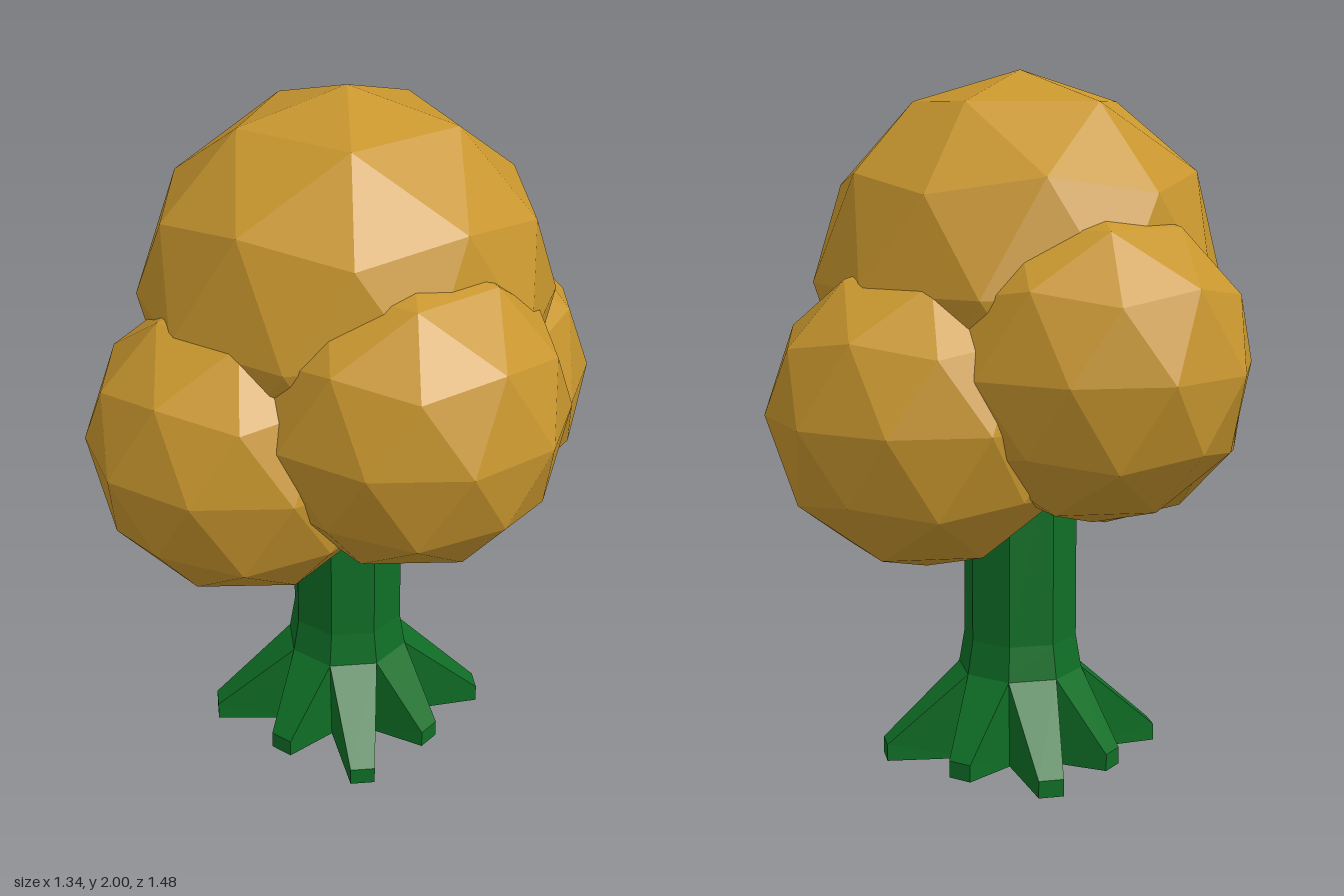
import * as THREE from 'three';

const leafMaterial = new THREE.MeshStandardMaterial({ color: 0xc8962e, flatShading: true });
const trunkMaterial = new THREE.MeshStandardMaterial({ color: 0x0f6e26, flatShading: true });

const SIDES = 8;
const STEP = (Math.PI * 2) / SIDES;

// Faceted ball with one corner pointing straight up
function leafBall(name, radius, x, y, z, turn = 0) {
  const geometry = new THREE.IcosahedronGeometry(radius, 1);
  geometry.rotateZ(-Math.atan(2 / (1 + Math.sqrt(5))));
  const ball = new THREE.Mesh(geometry, leafMaterial);
  ball.name = name;
  ball.position.set(x, y, z);
  ball.rotation.y = turn;
  return ball;
}

// Eight-sided trunk whose faces run out into alternating long and short roots
function trunkGeometry() {
  const positions = [];
  const tri = (...corners) => corners.forEach((p) => positions.push(p.x, p.y, p.z));
  const quad = (a, b, c, d) => { tri(a, b, c); tri(a, c, d); };
  const polar = (angle, r, y) => new THREE.Vector3(r * Math.sin(angle), y, r * Math.cos(angle));

  const rings = [[0.185, 0.26], [0.168, 0.36], [0.168, 1.0]]; // radius, height
  const footRadius = 0.17, tipHalfWidth = 0.036, tipHeight = 0.05;
  const base = new THREE.Vector3(0, 0, 0);
  const top = new THREE.Vector3(0, 1.0, 0);

  for (let i = 0; i < SIDES; i++) {
    const a = i * STEP, b = a + STEP, mid = a + STEP / 2;

    // Trunk wall and its cap
    for (let k = 0; k < rings.length - 1; k++) {
      const [r0, y0] = rings[k], [r1, y1] = rings[k + 1];
      quad(polar(a, r0, y0), polar(b, r0, y0), polar(b, r1, y1), polar(a, r1, y1));
    }
    tri(top, polar(a, 0.168, 1.0), polar(b, 0.168, 1.0));

    // Root
    const reach = i % 2 === 0 ? 0.407 : 0.32;
    const side = polar(mid + Math.PI / 2, tipHalfWidth, 0);
    const tip = (sign, y) => polar(mid, reach, y).addScaledVector(side, sign);
    const l0 = tip(-1, 0), l1 = tip(-1, tipHeight);
    const r0 = tip(1, 0), r1 = tip(1, tipHeight);
    const va0 = polar(a, footRadius, 0), va1 = polar(a, ...rings[0]);
    const vb0 = polar(b, footRadius, 0), vb1 = polar(b, ...rings[0]);
    quad(l0, r0, r1, l1);      // end
    quad(l1, r1, vb1, va1);    // upper slope
    quad(va0, l0, l1, va1);    // one flank
    quad(vb0, vb1, r1, r0);    // other flank
    quad(vb0, r0, l0, va0);    // underside
    tri(base, vb0, va0);
  }

  const geometry = new THREE.BufferGeometry();
  geometry.setAttribute('position', new THREE.Float32BufferAttribute(positions, 3));
  geometry.computeVertexNormals();
  return geometry;
}

export function createModel() {
  const tree = new THREE.Group();
  tree.name = 'tree';

  const trunk = new THREE.Mesh(trunkGeometry(), trunkMaterial);
  trunk.name = 'trunkWithRoots';
  tree.add(trunk);

  // Crown: one large ball above two pairs, each pair half a turn apart
  const crown = new THREE.Group();
  crown.name = 'crown';
  crown.add(leafBall('topFoliage', 0.59, 0, 1.41, 0));
  for (const [s, end] of [[1, 'Front'], [-1, 'Back']]) {
    const turn = s > 0 ? 0 : Math.PI;
    crown.add(leafBall('upperFoliage' + end, 0.44, s * 0.253, 1.21, s * 0.278, turn));
    crown.add(leafBall('lowerFoliage' + end, 0.44, s * -0.212, 1.07, s * 0.298, turn));
  }
  tree.add(crown);
  return tree;
}
